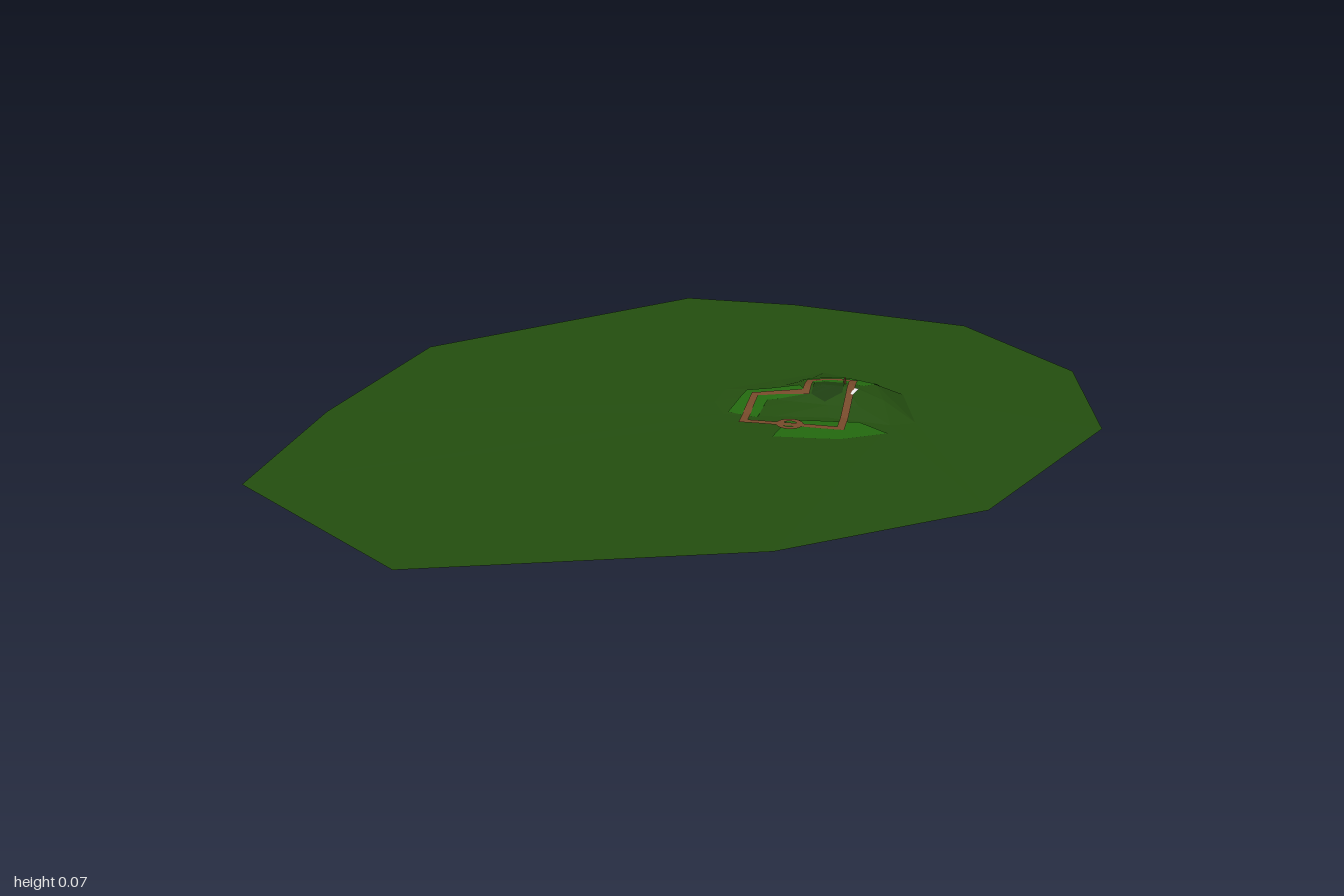
import * as THREE from 'three';

const paint = (name, color) => new THREE.MeshStandardMaterial({ name, color, flatShading: true, side: THREE.DoubleSide });

// Rings of [x, y, z], clockwise from above, from the rim inwards
const rim = [[-0.28, 0.008, -1], [0.06, 0.008, -1], [0.59, 0.008, -0.9], [0.91, 0.012, -0.55], [0.985, 0.02, -0.11],
  [0.73, 0.015, 0.43], [0.29, 0.012, 0.73], [-0.47, 0.018, 0.99], [-0.99, 0.009, 0.63], [-0.99, 0.008, 0.15], [-0.91, 0.008, -0.39]];
const foot = [[0.13, 0.018, -0.3], [0.24, 0.018, -0.38], [0.34, 0.018, -0.34], [0.47, 0.02, -0.25], [0.52, 0.018, -0.06],
  [0.46, 0.018, -0.03], [0.3, 0.018, -0.05], [0.16, 0.018, -0.03], [0.03, 0.018, -0.02], [-0.01, 0.018, -0.1], [0, 0.018, -0.2]];
const shoulder = [[0.16, 0.038, -0.21], [0.22, 0.045, -0.25], [0.3, 0.05, -0.27], [0.4, 0.05, -0.23], [0.43, 0.042, -0.14],
  [0.37, 0.035, -0.1], [0.29, 0.033, -0.1], [0.2, 0.032, -0.11], [0.13, 0.03, -0.12], [0.1, 0.03, -0.15], [0.12, 0.034, -0.18]];
const peak = [0.31, 0.058, -0.2];
const crest = shoulder.map(([x, , z]) => [peak[0] + (x - peak[0]) * 0.25, peak[1], peak[2] + (z - peak[2]) * 0.25]);

// Joins neighbouring rings of equal length into one sheet
function sheet(rings, closed = true) {
  const n = rings[0].length, index = [];
  for (let r = 0; r < rings.length - 1; r++) {
    for (let i = 0; i < (closed ? n : n - 1); i++) {
      const a = r * n + i, b = r * n + (i + 1) % n;
      index.push(a, a + n, b, b, a + n, b + n);
    }
  }
  const g = new THREE.BufferGeometry();
  g.setAttribute('position', new THREE.Float32BufferAttribute(rings.flat(2), 3));
  g.setIndex(index);
  g.computeVertexNormals();
  return g;
}

export function createModel() {
  const group = new THREE.Group();
  const grass = paint('dark grass', 0x234d0f);
  const meadow = paint('bright grass', 0x23680f);
  const cliff = paint('shaded cliff', 0x1b3d0d);
  const earth = paint('brown path', 0x75492a);
  const white = paint('white', 0xf4f4f4);
  const add = (name, geometry, material) => {
    const mesh = new THREE.Mesh(geometry, material);
    mesh.name = name;
    group.add(mesh);
    return mesh;
  };

  // Open ground with the hill rising from it
  const ground = add('ground', sheet([rim, foot, shoulder, crest, crest.map(() => peak)]), grass);

  // Height of the ground under a point
  const ray = new THREE.Raycaster();
  const down = new THREE.Vector3(0, -1, 0);
  const heightAt = (x, z) => {
    ray.set(new THREE.Vector3(x, 1, z), down);
    const hit = ray.intersectObject(ground)[0];
    return hit ? hit.point.y : 0.018;
  };

  // Lays the band between two [x, z] loops on the ground
  function drape(name, outer, inner, material, lift, rows, cuts = 8) {
    const divide = loop => loop.flatMap((p, i) => {
      const q = loop[(i + 1) % loop.length];
      return Array.from({ length: cuts }, (_, k) => [p[0] + (q[0] - p[0]) * k / cuts, p[1] + (q[1] - p[1]) * k / cuts]);
    });
    const out = divide(outer), inn = divide(inner), rings = [];
    for (let r = 0; r <= rows; r++) {
      rings.push(out.map(([x, z], i) => {
        const px = x + (inn[i][0] - x) * r / rows, pz = z + (inn[i][1] - z) * r / rows;
        return [px, heightAt(px, pz) + lift, pz];
      }));
    }
    return add(name, sheet(rings), material);
  }
  const patch = (name, loop, material, lift) => {
    const mid = [0, 1].map(k => loop.reduce((s, p) => s + p[k], 0) / loop.length);
    drape(name, loop, loop.map(() => mid), material, lift, 7);
  };

  // Grassy shelves around the hill
  patch('leftMeadow', [[0.06, -0.18], [0.2, -0.19], [0.23, -0.14], [0.13, -0.11], [0.12, -0.01], [0.04, -0.03]], meadow, 0.002);
  patch('frontMeadow', [[0.2, -0.01], [0.38, -0.03], [0.46, 0.03], [0.35, 0.09], [0.18, 0.11], [0.19, 0.05]], meadow, 0.002);
  patch('backMeadow', [[0.19, -0.25], [0.31, -0.26], [0.41, -0.24], [0.37, -0.2], [0.24, -0.2]], meadow, 0.002);
  patch('cliffFace', [[0.24, -0.2], [0.32, -0.2], [0.32, -0.15], [0.28, -0.11], [0.24, -0.14]], cliff, 0.002);

  // Stepped loop path
  drape('path',
    [[0.08, -0.155], [0.215, -0.155], [0.215, -0.23], [0.35, -0.23], [0.35, 0.035], [0.08, 0.035]],
    [[0.1, -0.135], [0.235, -0.135], [0.235, -0.21], [0.33, -0.21], [0.33, 0.015], [0.1, 0.015]], earth, 0.004, 2, 14);

  // Round clearing on the path
  const circle = r => Array.from({ length: 16 }, (_, i) => [0.21 + r * Math.cos(i * Math.PI / 8), 0.025 + r * Math.sin(i * Math.PI / 8)]);
  drape('clearing', circle(0.035), circle(0.019), earth, 0.005, 1, 1);

  // Small white pennant and marker post on the hill
  add('pennant', sheet([[[0.33, 0.058, -0.175], [0.362, 0.058, -0.17]], [[0.345, 0.052, -0.14], [0.35, 0.052, -0.14]]], false), white);
  const post = add('markerPost', new THREE.CylinderGeometry(0.003, 0.004, 0.02, 5), earth);
  post.position.set(0.32, 0.064, -0.2);

  return group;
}
